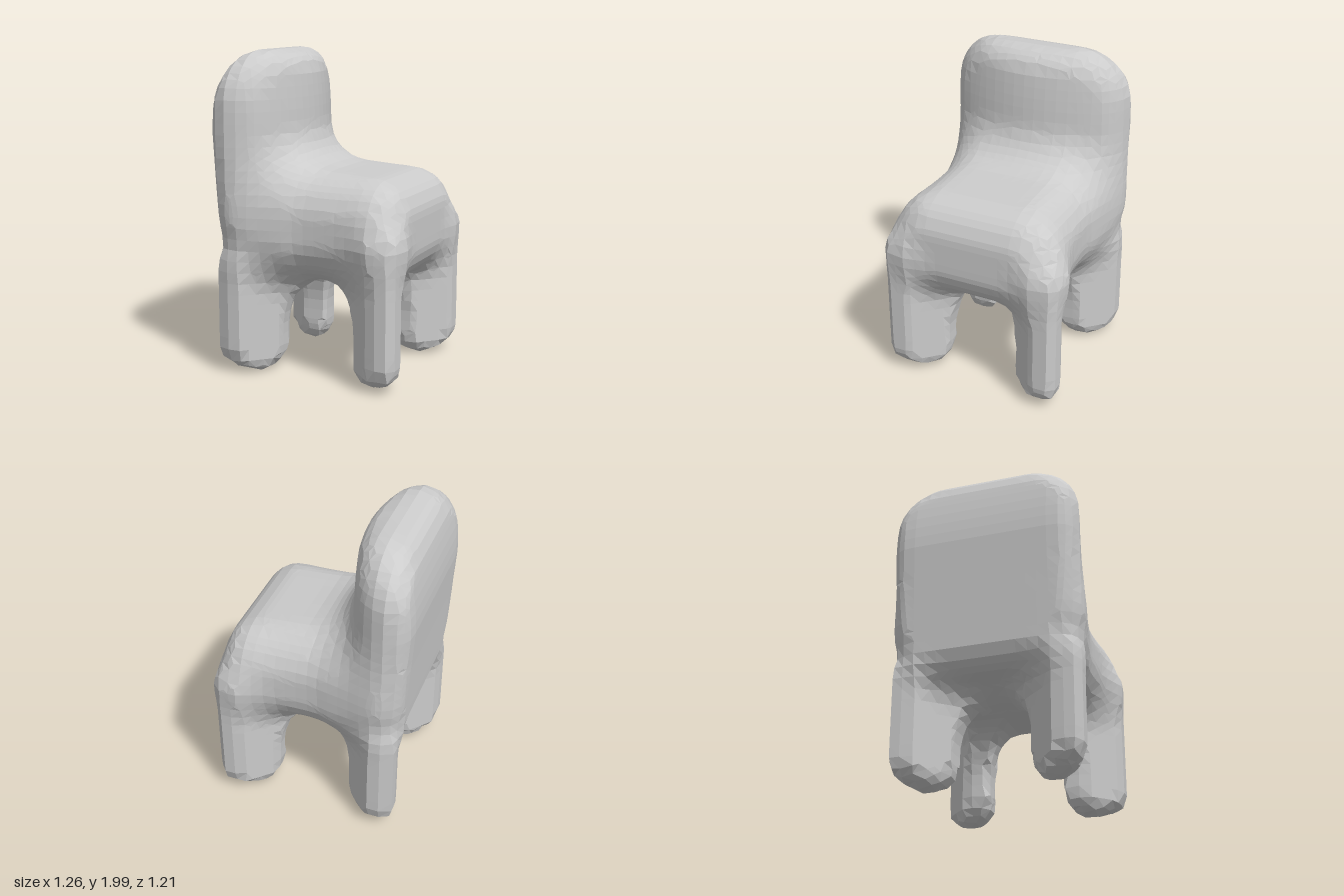
import * as THREE from 'three';

const CELL = 0.07;
const MIN = [-0.805, -0.145, -0.805], COUNT = [24, 34, 24];

// Soft union: blends two distances over a width k
const blend = (a, b, k) => {
  const h = Math.max(k - Math.abs(a - b), 0) / k;
  return Math.min(a, b) - h * h * k / 4;
};

// Sweeps a flat distance along an axis (e = distance past the end) with rounded rims
const rim = (d, e, r) =>
  Math.hypot(Math.max(d + r, 0), Math.max(e + r, 0)) + Math.min(Math.max(d, e) + r, 0) - r;

// Flat rounded rectangle
const roundRect = (u, v, hu, hv, r) =>
  rim(Math.abs(u) - hu, Math.abs(v) - hv, r);

// Cushion-like seat block, waisted at the sides and rising towards the backrest
function seat(x, y, z) {
  const lift = 0.04 * Math.max(0, 0.4 - x);
  const waist = 0.525 + 0.05 * Math.min(1, ((x - 0.03) / 0.45) ** 2);
  const side = roundRect(z, y - 0.93 - lift, waist, 0.325 + lift, 0.29);
  return rim(side, Math.abs(x - 0.125) - 0.475, 0.24);
}

// Thick backrest, flat behind, bowed in front and thinner at the top
function backrest(x, y, z) {
  const top = Math.max(0, (y - 1.5) / 0.5) ** 2;
  const half = 0.228 - 0.25 * Math.min(z * z, 0.36) - 0.06 * Math.min(top, 1.3);
  const rear = -0.63 + 0.06 * Math.max(0, 1.5 - y) + 0.08 * Math.min(top, 1.3);
  const face = roundRect(y - 1.335, z, 0.667, 0.59, 0.33);
  return rim(face, Math.abs(x - rear - half) - half, 0.14);
}

// Leg: post trimmed to a band along the diagonal, flared inwards at the top, tapered at the foot
const leg = (cx, cz, height) => (x, y, z) => {
  const u = (x - cx) * Math.sign(cx), v = (z - cz) * Math.sign(cz);
  const foot = THREE.MathUtils.clamp((0.18 - y) / 0.18, 0, 1) ** 2;
  const flare = 0.1 * THREE.MathUtils.clamp((y - 0.25) / 0.35, 0, 1) ** 2;
  const outer = 0.17 - 0.11 * foot, inner = 0.17 - 0.05 * foot + flare;
  const band = Math.abs(u - v) / Math.SQRT2 - 0.11;
  const plan = Math.max(u - outer, v - outer, -u - inner, -v - inner, band);
  return rim(plan, Math.max(-y, y - height), 0.11);
};

const parts = [
  { name: 'seat', field: seat },
  { name: 'backrest', field: backrest },
  { name: 'frontLeftLeg', field: leg(0.432, 0.412, 0.97) },
  { name: 'frontRightLeg', field: leg(-0.4, 0.412, 0.78) },
  { name: 'backLeftLeg', field: leg(0.432, -0.412, 0.97) },
  { name: 'backRightLeg', field: leg(-0.4, -0.412, 0.78) },
];

// Whole chair as one soft body
function body(x, y, z) {
  const legs = Math.min(...parts.slice(2).map((p) => p.field(x, y, z)));
  return blend(blend(seat(x, y, z), backrest(x, y, z), 0.28), legs, 0.15);
}

// Pulls a point onto the surface of the body
function snap(p) {
  const e = 0.004;
  for (let i = 0; i < 3; i++) {
    const d = body(p.x, p.y, p.z);
    const g = new THREE.Vector3(
      body(p.x + e, p.y, p.z) - body(p.x - e, p.y, p.z),
      body(p.x, p.y + e, p.z) - body(p.x, p.y - e, p.z),
      body(p.x, p.y, p.z + e) - body(p.x, p.y, p.z - e)).divideScalar(2 * e);
    const step = THREE.MathUtils.clamp(d / Math.max(g.lengthSq(), 0.3), -0.03, 0.03);
    p.addScaledVector(g, -step);
  }
  return p;
}

export function createModel() {
  const group = new THREE.Group();
  const [nx, ny, nz] = COUNT;
  const stride = [1, nx, nx * ny];
  const at = (i, j, k) => i + nx * (j + ny * k);
  const point = (i, j, k) => new THREE.Vector3(MIN[0] + i * CELL, MIN[1] + j * CELL, MIN[2] + k * CELL);

  // Sample the body on a grid
  const value = new Float32Array(nx * ny * nz);
  const eachCell = (fn, from, trim) => {
    for (let k = from; k < nz - trim; k++)
      for (let j = from; j < ny - trim; j++)
        for (let i = from; i < nx - trim; i++) fn(i, j, k);
  };
  eachCell((i, j, k) => {
    const p = point(i, j, k);
    value[at(i, j, k)] = body(p.x, p.y, p.z);
  }, 0, 0);

  // One surface point in every cell the surface passes through
  const corner = new Map();
  eachCell((i, j, k) => {
    const sum = new THREE.Vector3();
    let hits = 0;
    for (let c = 0; c < 8; c++) {
      for (let a = 0; a < 3; a++) {
        if (c >> a & 1) continue;
        const o = [c & 1, c >> 1 & 1, c >> 2 & 1];
        const s = at(i + o[0], j + o[1], k + o[2]);
        const f0 = value[s], f1 = value[s + stride[a]];
        if ((f0 < 0) === (f1 < 0)) continue;
        const q = point(i + o[0], j + o[1], k + o[2]);
        q.setComponent(a, q.getComponent(a) + CELL * f0 / (f0 - f1));
        sum.add(q);
        hits++;
      }
    }
    if (hits) corner.set(at(i, j, k), snap(sum.divideScalar(hits)));
  }, 0, 1);

  // One quad across every grid edge that crosses the surface, given to the nearest part
  const triangles = parts.map(() => []);
  eachCell((i, j, k) => {
    const s = at(i, j, k);
    for (let a = 0; a < 3; a++) {
      const inside = value[s] < 0;
      if (inside === (value[s + stride[a]] < 0)) continue;
      const b = stride[(a + 1) % 3], c = stride[(a + 2) % 3];
      const quad = [s, s - b, s - b - c, s - c].map((n) => corner.get(n));
      if (!inside) quad.reverse();
      const mid = quad.reduce((m, p) => m.addScaledVector(p, 0.25), new THREE.Vector3());
      const dist = parts.map((p) => p.field(mid.x, mid.y, mid.z));
      const list = triangles[dist.indexOf(Math.min(...dist))];
      for (const n of [0, 1, 2, 0, 2, 3]) list.push(quad[n].x, quad[n].y, quad[n].z);
    }
  }, 1, 1);

  const material = new THREE.MeshStandardMaterial({ color: 0xcccccc, flatShading: true });
  parts.forEach((part, n) => {
    const geometry = new THREE.BufferGeometry();
    geometry.setAttribute('position', new THREE.Float32BufferAttribute(triangles[n], 3));
    geometry.computeVertexNormals();
    const mesh = new THREE.Mesh(geometry, material);
    mesh.name = part.name;
    group.add(mesh);
  });
  return group;
}
